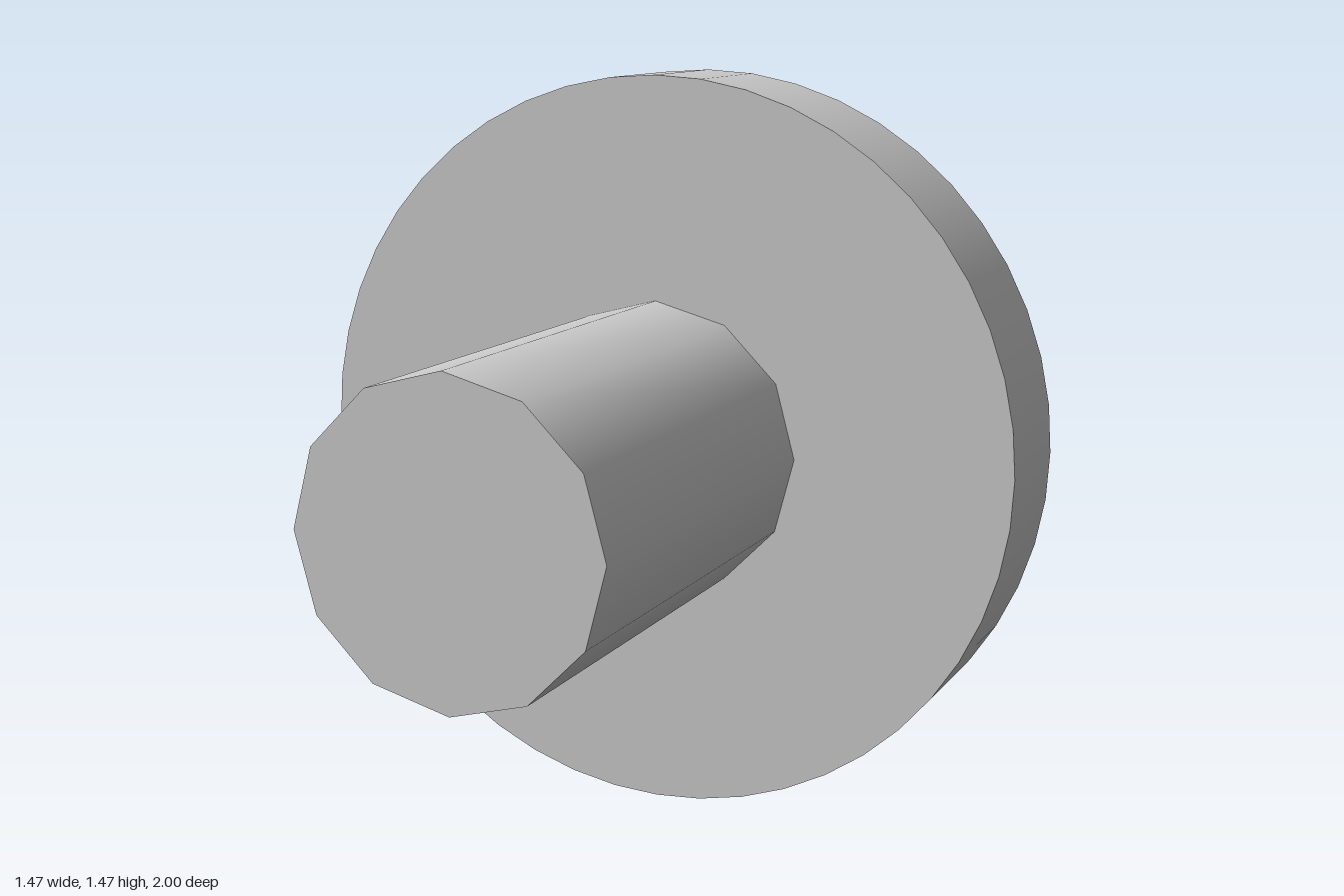
import * as THREE from 'three';

const CENTER_Y = 0.737;

export function createModel() {
  const model = new THREE.Group();
  const grey = new THREE.MeshStandardMaterial({ color: 0xcccccc });
  const dark = new THREE.MeshStandardMaterial({ color: 0x626866 });

  // Cylinder lying along z between two z positions
  function disc(name, radius, zBack, zFront, sides, material) {
    const geometry = new THREE.CylinderGeometry(radius, radius, zFront - zBack, sides);
    geometry.rotateX(Math.PI / 2);
    const mesh = new THREE.Mesh(geometry, material);
    mesh.name = name;
    mesh.position.set(0, CENTER_Y, (zBack + zFront) / 2);
    model.add(mesh);
  }

  disc('shaft', 0.296, 0.155, 1, 12, grey);
  disc('flange', 0.737, -0.113, 0.155, 48, grey);
  disc('gasketRing', 0.66, -0.255, -0.113, 48, dark);

  // Flattened ball with its poles along z
  const ballGeometry = new THREE.SphereGeometry(0.595, 24, 12);
  ballGeometry.rotateX(Math.PI / 2);
  ballGeometry.scale(1, 1, 0.8);
  const ball = new THREE.Mesh(ballGeometry, grey);
  ball.name = 'ballKnob';
  ball.position.set(0, CENTER_Y, -0.524);
  model.add(ball);

  return model;
}
